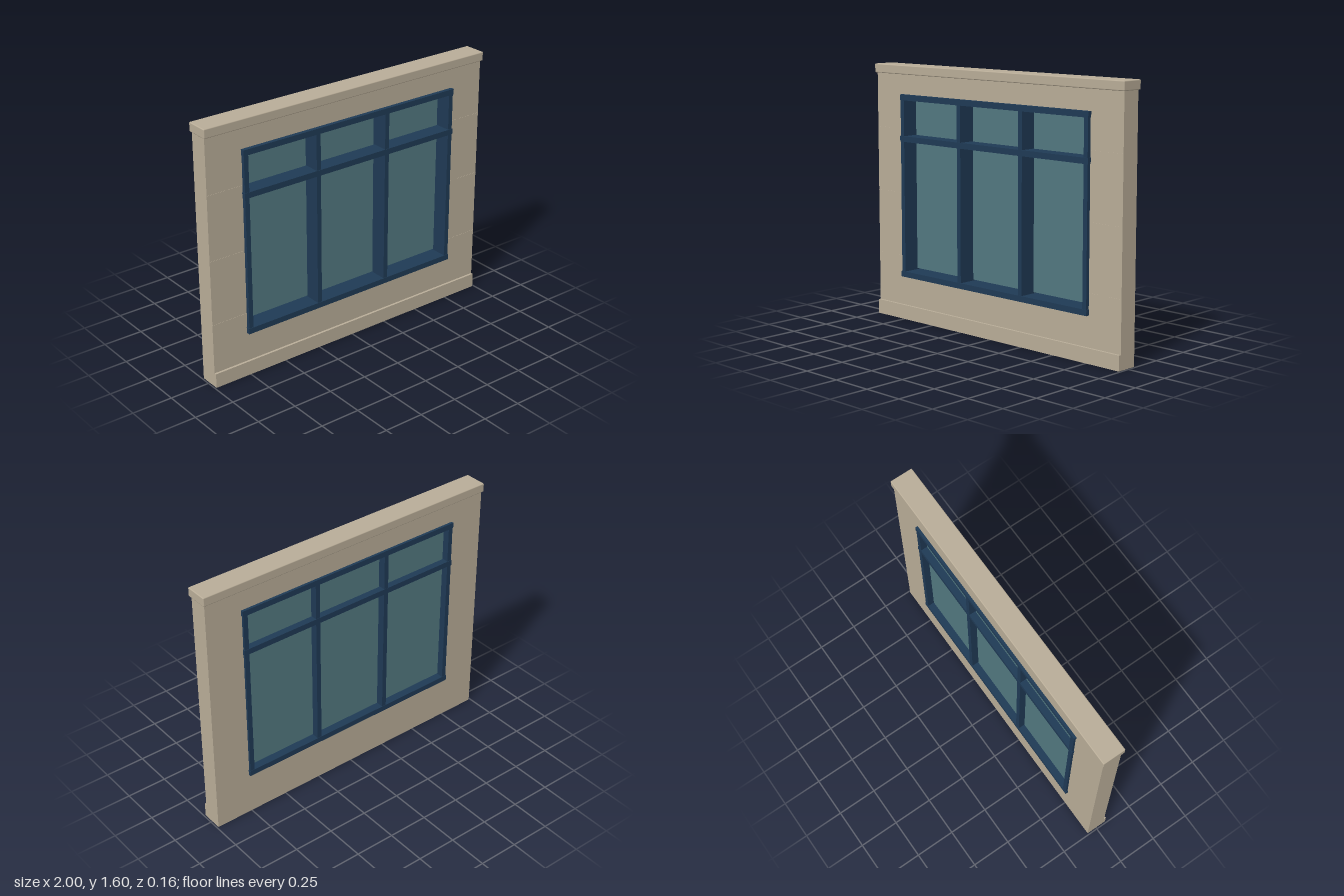
import * as THREE from 'three';
import { RoundedBoxGeometry } from 'three/addons/geometries/RoundedBoxGeometry.js';

const stone = new THREE.MeshStandardMaterial({ color: 0xb9ad98 });
const paint = new THREE.MeshStandardMaterial({ color: 0x1f3a55 });
const glass = new THREE.MeshStandardMaterial({ color: 0x527880 });

export function createModel() {
  const model = new THREE.Group();
  const add = (name, geometry, material, x, y, z, parent = model) => {
    const mesh = new THREE.Mesh(geometry, material);
    mesh.name = name;
    mesh.position.set(x, y, z);
    parent.add(mesh);
    return mesh;
  };
  // Box given by its limits on each axis
  const block = (name, material, [x0, x1], [y0, y1], [z0, z1], parent) =>
    add(name, new THREE.BoxGeometry(x1 - x0, y1 - y0, z1 - z0), material,
      (x0 + x1) / 2, (y0 + y1) / 2, (z0 + z1) / 2, parent);

  // Wall slab with the window opening cut through it
  const rect = (target, x, y0, y1) => target
    .moveTo(-x, y0).lineTo(x, y0).lineTo(x, y1).lineTo(-x, y1).closePath();
  const outline = rect(new THREE.Shape(), 0.99, 0, 1.55);
  outline.holes.push(rect(new THREE.Path(), 0.745, 0.29, 1.4));
  add('wall', new THREE.ExtrudeGeometry(outline, { depth: 0.118, bevelEnabled: false }),
    stone, 0, 0, -0.063);

  // Plinth along the front and softened coping on top
  block('plinth', stone, [-0.99, 0.99], [0, 0.09], [0.05, 0.07]);
  add('coping', new RoundedBoxGeometry(2, 0.056, 0.143, 2, 0.006), stone, 0, 1.567, -0.002);

  // Fine course lines on the front, either side of the window
  for (const y of [0.4, 0.8, 1.2])
    for (const side of [-1, 1])
      add('courseLine', new THREE.BoxGeometry(0.23, 0.004, 0.004), stone, side * 0.875, y, 0.0545);

  // Window frame: through-going rails and slightly shallower uprights
  const frame = new THREE.Group();
  frame.name = 'windowFrame';
  model.add(frame);
  const rails = { bottomRail: 0.292, transom: 1.143, topRail: 1.399 };
  for (const [name, y] of Object.entries(rails))
    block(name, paint, [-0.76, 0.76], [y - 0.0175, y + 0.0175], [-0.079, 0.08], frame);
  for (const x of [-0.742, -0.25, 0.25, 0.742])
    block(Math.abs(x) > 0.5 ? 'stile' : 'mullion', paint,
      [x - 0.0145, x + 0.0145], [0.28, 1.41], [-0.077, 0.077], frame);

  // Glass panes, set towards the back with a hairline gap all round
  for (const x of [-0.496, 0, 0.496])
    block('glassPane', glass, [x - 0.228, x + 0.228], [0.318, 1.373], [-0.037, -0.022]);

  return model;
}
